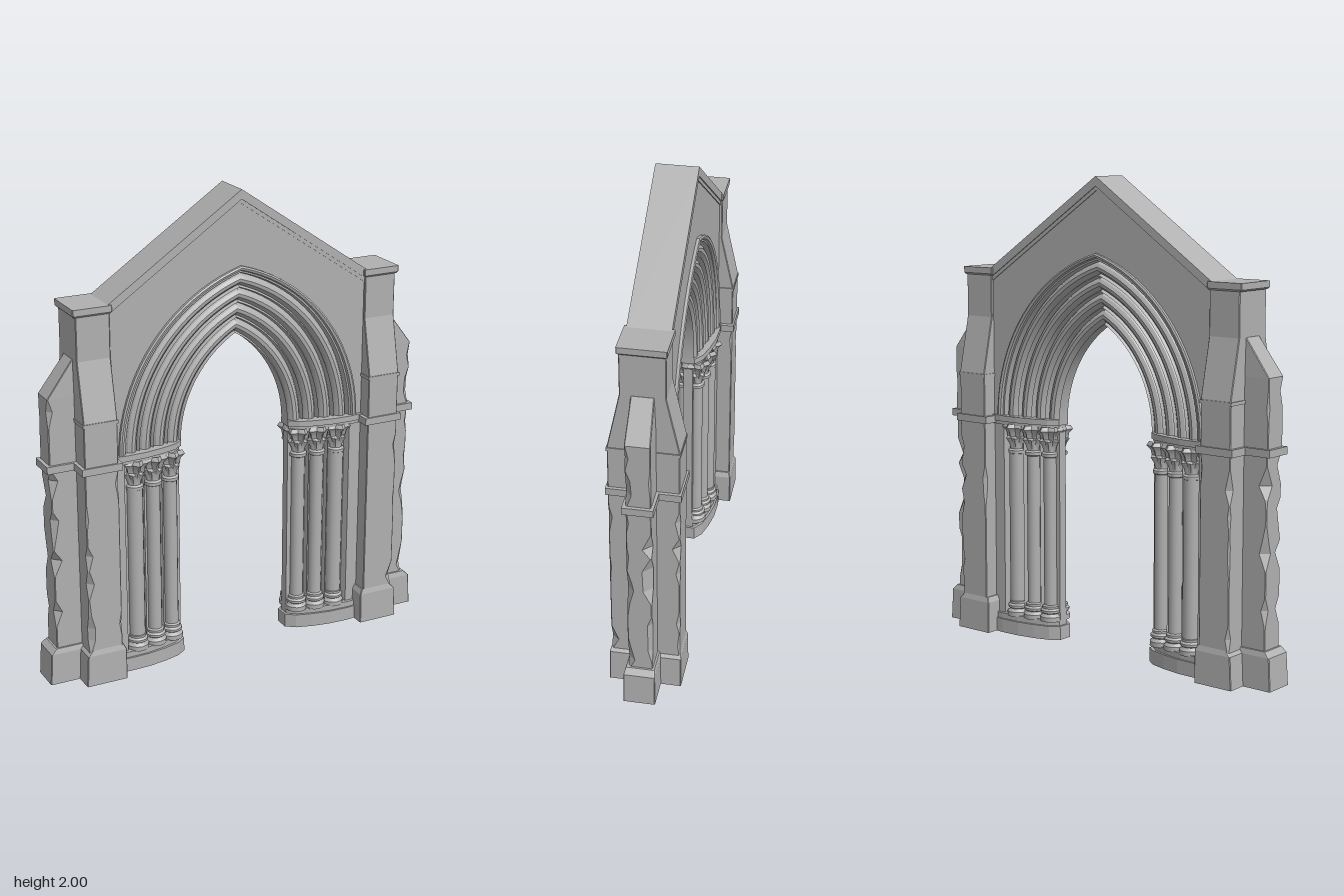
import * as THREE from 'three';
import { toCreasedNormals } from 'three/addons/utils/BufferGeometryUtils.js';

const stone = new THREE.MeshStandardMaterial({ color: 0xb0b0b0 });
stone.name = 'grey stone';

let seed = 7;
const rand = () => (seed = (seed * 16807) % 2147483647) / 2147483647;

function add(parent, name, geometry, x = 0, y = 0, z = 0) {
  const mesh = new THREE.Mesh(geometry, stone);
  mesh.name = name;
  mesh.position.set(x, y, z);
  parent.add(mesh);
  return mesh;
}

const box = (x0, x1, y0, y1, hz) =>
  new THREE.BoxGeometry(x1 - x0, y1 - y0, hz * 2).translate((x0 + x1) / 2, (y0 + y1) / 2, 0);

// Flat outline in x,y, thickened evenly about z = 0
function slab(points, hz) {
  const shape = new THREE.Shape(points.map(([x, y]) => new THREE.Vector2(x, y)));
  return new THREE.ExtrudeGeometry(shape, { depth: hz * 2, bevelEnabled: false }).translate(0, 0, -hz);
}

// Plan outline given for the front half, mirrored to the back and raised from y0 to y1
function planPrism(half, y0, y1) {
  const pts = [...half, ...half.map(([x, z]) => [x, -z]).reverse()];
  const shape = new THREE.Shape(pts.map(([x, z]) => new THREE.Vector2(x, -z)));
  return new THREE.ExtrudeGeometry(shape, { depth: y1 - y0, bevelEnabled: false })
    .rotateX(-Math.PI / 2).translate(0, y0, 0);
}

// Square pier from levels {y, x0, x1, hz, c}, c being the chip at each of four corners
function pier(levels) {
  const rings = levels.map(({ y, x0, x1, hz, c }) => [
    [x1 - c[0], y, hz], [x1, y, hz - c[0]], [x1, y, -hz + c[1]], [x1 - c[1], y, -hz],
    [x0 + c[2], y, -hz], [x0, y, -hz + c[2]], [x0, y, hz - c[3]], [x0 + c[3], y, hz]]);
  const pos = [];
  const tri = (...v) => v.forEach(p => pos.push(...p));
  for (let i = 0; i < rings.length - 1; i++) {
    for (let k = 0; k < 8; k++) {
      const a = rings[i][k], b = rings[i][(k + 1) % 8];
      const d = rings[i + 1][k], e = rings[i + 1][(k + 1) % 8];
      tri(a, b, e);
      tri(a, e, d);
    }
  }
  const bottom = rings[0], top = rings[rings.length - 1];
  for (let k = 1; k < 7; k++) {
    tri(top[0], top[k], top[k + 1]);
    tri(bottom[0], bottom[k + 1], bottom[k]);
  }
  const g = new THREE.BufferGeometry();
  g.setAttribute('position', new THREE.Float32BufferAttribute(pos, 3));
  g.computeVertexNormals();
  return g;
}

const SHARP = [0.003, 0.003, 0.003, 0.003];
// Weathered stretch of a pier with random broken corners
function weathered(y0, y1, n, x0, x1, hz, depth, odds) {
  const out = [];
  for (let i = 0; i <= n; i++) {
    const edge = i === 0 || i === n;
    const c = SHARP.map((s, k) => (!edge && rand() < odds * (k < 2 ? 1 : 0.35)) ? s + depth * rand() : s);
    const jitter = edge ? 0 : (rand() - 0.5) * 0.4;
    out.push({ y: y0 + (y1 - y0) * (i + jitter) / n, x0, x1, hz, c });
  }
  return out;
}

// Pointed arch: t = 0 is the inner edge, t = 1 the outer; u runs right spring, apex, left spring
const SPRING = 0.96;
function archPoint(t, u) {
  const a = 0.25 + 0.3 * t, c = 0.249 - 0.042 * t, R = a + c;
  const side = u <= 0.5 ? 1 : -1;
  const th = Math.acos(c / R) * (1 - Math.abs(u - 0.5) * 2);
  return [side * (R * Math.cos(th) - c), SPRING + R * Math.sin(th)];
}

// Moulded orders of the arch, stepping inwards on both faces
function archGeometry() {
  const front = [[1, 0.07], [1, 0.09], [0.975, 0.094], [0.94, 0.09], [0.925, 0.08]];
  for (let i = 0; i < 4; i++) {
    const t = 0.9 - i * 0.225, z = 0.08 - i * 0.0125;
    front.push([t, z], [t - 0.02, z - 0.026], [t - 0.05, z - 0.012], [t - 0.1, z - 0.004],
      [t - 0.15, z - 0.007], [t - 0.185, z - 0.018], [t - 0.2, z - 0.03]);
  }
  front.push([0, 0.028]);
  const profile = [...front, ...front.map(([t, z]) => [t, -z]).reverse()];
  const N = 40, P = profile.length, pos = [], index = [];
  for (let s = 0; s <= N; s++) {
    for (const [t, z] of profile) pos.push(...archPoint(t, s / N), z);
  }
  for (let s = 0; s < N; s++) {
    for (let p = 0; p < P - 1; p++) {
      const a = s * P + p, b = a + P;
      index.push(a, b, a + 1, b, b + 1, a + 1);
    }
  }
  const g = new THREE.BufferGeometry();
  g.setAttribute('position', new THREE.Float32BufferAttribute(pos, 3));
  g.setIndex(index);
  return toCreasedNormals(g, 0.5);
}

const lathe = (pts, seg) =>
  new THREE.LatheGeometry(pts.map(([r, y]) => new THREE.Vector2(r, y)), seg);

// Flared capital with leaf ripples
function capitalGeometry() {
  const g = lathe([[0.028, 0.8], [0.037, 0.805], [0.037, 0.818], [0.028, 0.825], [0.031, 0.85],
    [0.043, 0.872], [0.036, 0.88], [0.04, 0.9], [0.055, 0.918], [0.045, 0.935]], 24);
  const p = g.attributes.position;
  for (let i = 0; i < p.count; i++) {
    const x = p.getX(i), y = p.getY(i), z = p.getZ(i);
    if (y < 0.83) continue;
    const k = 1 + 0.16 * Math.cos(6 * Math.atan2(z, x) + (y > 0.875 ? Math.PI : 0));
    p.setXYZ(i, x * k, y, z * k);
  }
  return toCreasedNormals(g, 0.7);
}

// One side of the doorway: buttresses, jamb and columns
function createSide() {
  const side = new THREE.Group();

  // Main buttress, sloping back to the wall near the top
  add(side, 'buttress', pier([
    ...weathered(0.14, 0.93, 13, 0.578, 0.722, 0.142, 0.03, 0.4),
    { y: 1.15, x0: 0.578, x1: 0.722, hz: 0.142, c: SHARP },
    { y: 1.39, x0: 0.578, x1: 0.722, hz: 0.09, c: SHARP },
    { y: 1.58, x0: 0.578, x1: 0.722, hz: 0.09, c: SHARP }]));
  add(side, 'buttressWeathering', box(0.574, 0.726, 1.132, 1.146, 0.145));
  add(side, 'buttressCap', pier([
    { y: 1.57, x0: 0.575, x1: 0.728, hz: 0.092, c: SHARP },
    { y: 1.577, x0: 0.57, x1: 0.735, hz: 0.097, c: SHARP },
    { y: 1.603, x0: 0.57, x1: 0.735, hz: 0.097, c: SHARP }]));

  // Narrow outer buttress
  add(side, 'outerButtress', pier([
    ...weathered(0.14, 0.94, 14, 0.7, 0.832, 0.05, 0.036, 0.6),
    ...weathered(0.95, 1.24, 5, 0.7, 0.835, 0.05, 0.025, 0.5),
    { y: 1.39, x0: 0.7, x1: 0.723, hz: 0.045, c: SHARP }]));

  // Footings with a sloped upper edge
  const footing = (name, x0, x1, hz) => add(side, name, pier([
    { y: 0, x0, x1, hz, c: SHARP },
    { y: 0.135, x0, x1: x1 - 0.008, hz: hz - 0.002, c: SHARP },
    { y: 0.157, x0: x0 + 0.01, x1: x1 - 0.03, hz: hz - 0.008, c: SHARP }]));
  footing('buttressFooting', 0.562, 0.742, 0.15);
  footing('outerFooting', 0.7, 0.87, 0.066);

  // String course
  add(side, 'buttressStringCourse', box(0.562, 0.736, 0.932, 0.963, 0.15));
  add(side, 'outerStringCourse', box(0.7, 0.85, 0.932, 0.963, 0.062));

  // Splayed jamb, plinth and abacus
  add(side, 'jamb', planPrism([[0.6, 0.077], [0.525, 0.077], [0.515, 0.05], [0.435, 0.045],
    [0.43, 0.058], [0.425, 0.036], [0.35, 0.033], [0.345, 0.046], [0.34, 0.022], [0.256, 0.02]], 0.05, 0.95));
  const plan = [[0.6, 0.09], [0.53, 0.097], [0.44, 0.094], [0.36, 0.08], [0.29, 0.06], [0.25, 0.03]];
  add(side, 'plinth', planPrism(plan.map(([x, z]) => [x - 0.004, z + 0.002]), 0, 0.06));
  add(side, 'plinthStep', planPrism(plan.map(([x, z]) => [x + 0.006, z - 0.006]), 0.06, 0.085));
  add(side, 'abacus', planPrism(plan, 0.942, 0.967));
  add(side, 'abacusUnderside', planPrism(plan.map(([x, z]) => [x + 0.006, z - 0.006]), 0.928, 0.942));

  // Three columns on each face
  const base = toCreasedNormals(lathe([[0.047, 0.08], [0.047, 0.1], [0.04, 0.106], [0.036, 0.113],
    [0.043, 0.118], [0.044, 0.128], [0.036, 0.136], [0.037, 0.146], [0.028, 0.152]], 16), 0.7);
  const capital = capitalGeometry();
  for (const [x, z, r] of [[0.472, 0.052, 0.034], [0.385, 0.042, 0.029], [0.302, 0.028, 0.029]]) {
    const shaft = new THREE.CylinderGeometry(r, r, 0.68, 16, 1, true).translate(0, 0.475, 0);
    for (const f of [1, -1]) {
      add(side, 'columnBase', base, x, 0, z * f);
      add(side, 'columnShaft', shaft, x, 0, z * f);
      add(side, 'capital', capital, x, 0, z * f);
    }
  }
  return side;
}

export function createModel() {
  const model = new THREE.Group();
  model.name = 'gothicArch';

  // Gabled wall around the arch
  const arc = [];
  for (let i = 0; i <= 40; i++) arc.push(archPoint(0.965, 1 - i / 40));
  add(model, 'gableWall', slab([[0.6, SPRING], [0.6, 1.57], [0, 1.975], [-0.6, 1.57], [-0.6, SPRING], ...arc], 0.078));
  add(model, 'archMouldings', archGeometry());

  // Two-step coping along the gable
  const coping = (top, low) => [[0, 2 - top], [0.6, 1.592 - top], [0.6, 1.592 - low],
    [0, 2 - low], [-0.6, 1.592 - low], [-0.6, 1.592 - top]];
  add(model, 'gableCoping', slab(coping(0, 0.04), 0.087));
  add(model, 'gableCopingStep', slab(coping(0.03, 0.058), 0.082));

  // The far side is the same part turned half round
  for (const turn of [0, Math.PI]) {
    const side = createSide();
    side.name = turn ? 'rightSide' : 'leftSide';
    side.rotation.y = turn;
    model.add(side);
  }
  return model;
}
